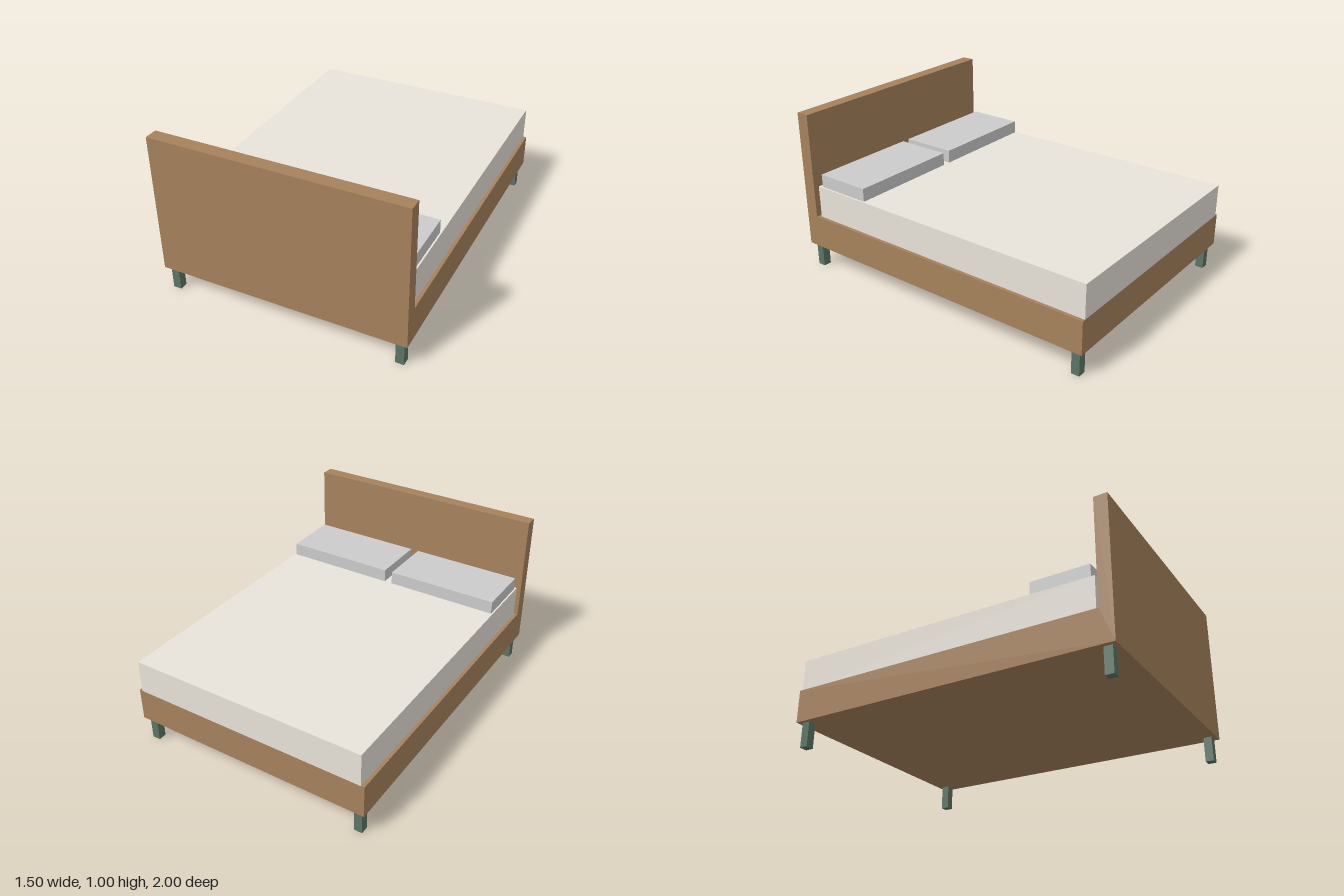
import * as THREE from 'three';

const material = (color) => new THREE.MeshStandardMaterial({ color });

// Box given by its extents along each axis
function box(name, mat, [x0, x1], [y0, y1], [z0, z1]) {
  const mesh = new THREE.Mesh(new THREE.BoxGeometry(x1 - x0, y1 - y0, z1 - z0), mat);
  mesh.position.set((x0 + x1) / 2, (y0 + y1) / 2, (z0 + z1) / 2);
  mesh.name = name;
  return mesh;
}

export function createModel() {
  const bed = new THREE.Group();
  bed.name = 'bed';
  const wood = material(0xa6825c);
  const linen = material(0xe8e3da);
  const legPaint = material(0x5b7566);
  const grey = material(0xcccccc);

  // Base and headboard: one L-shaped side profile (drawn as -z, y) swept across the width
  const profile = new THREE.Shape([
    [-1, 0.15], [1, 0.15], [1, 0.35], [-0.92, 0.35], [-0.92, 1], [-1, 1],
  ].map(([x, y]) => new THREE.Vector2(x, y)));
  const frameGeometry = new THREE.ExtrudeGeometry(profile, { depth: 1.5, bevelEnabled: false });
  frameGeometry.translate(0, 0, -0.75).rotateY(Math.PI / 2);
  const frame = new THREE.Mesh(frameGeometry, wood);
  frame.name = 'frameWithHeadboard';
  bed.add(frame);

  // Mattress, inset at the sides and just short of the headboard
  bed.add(box('mattress', linen, [-0.73, 0.73], [0.35, 0.55], [-1, 0.9]));

  // Pillows and legs, mirrored left and right
  for (const [side, s] of [['left', 1], ['right', -1]]) {
    const span = (a, b) => (s > 0 ? [a, b] : [-b, -a]);
    bed.add(box(side + 'Pillow', grey, span(0.025, 0.72), [0.55, 0.63], [0.525, 0.875]));
    bed.add(box(side + 'FrontLeg', legPaint, span(0.675, 0.725), [0, 0.15], [0.925, 0.975]));
    bed.add(box(side + 'BackLeg', legPaint, span(0.675, 0.725), [0, 0.15], [-0.975, -0.925]));
  }
  return bed;
}
